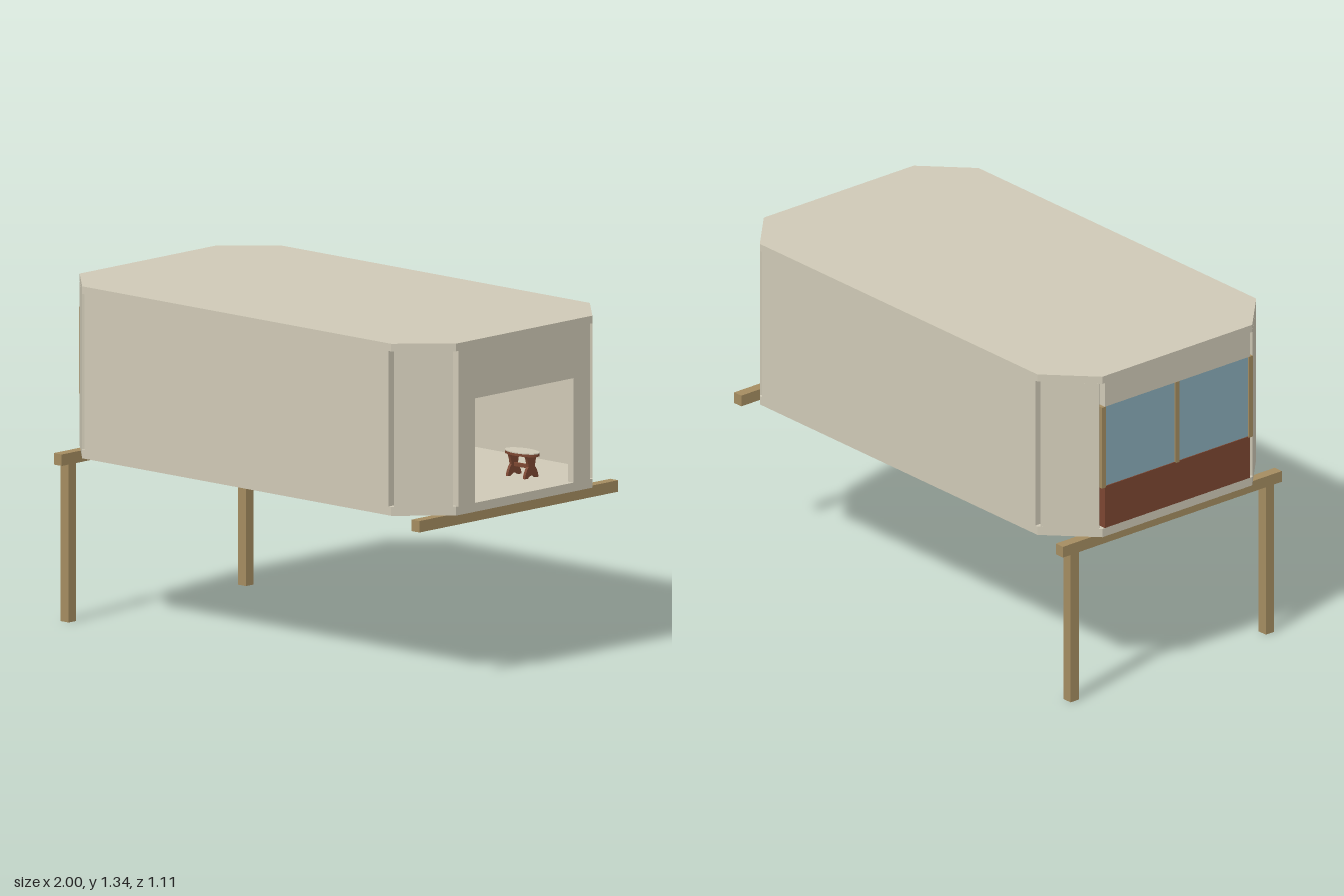
import * as THREE from 'three';

const mat = (name, color, side = THREE.FrontSide) => {
  const m = new THREE.MeshStandardMaterial({ color, side });
  m.name = name;
  return m;
};

export function createModel() {
  const shell = mat('warm grey', 0xcfc9b6, THREE.DoubleSide);
  const wood = mat('wood', 0xa48c60);
  const brown = mat('red brown', 0x7c4631);
  const glass = mat('window blue', 0x88abb7);
  const blue = mat('tub blue', 0x82b9cc, THREE.DoubleSide);

  const root = new THREE.Group();
  const add = (name, geo, material, parent = root) => {
    const m = new THREE.Mesh(geo, material);
    m.name = name;
    parent.add(m);
    return m;
  };
  // Box given by its extents on each axis
  const box = (name, material, [x0, x1], [y0, y1], [z0, z1], parent = root) => {
    const m = add(name, new THREE.BoxGeometry(x1 - x0, y1 - y0, z1 - z0), material, parent);
    m.position.set((x0 + x1) / 2, (y0 + y1) / 2, (z0 + z1) / 2);
    return m;
  };
  const group = (name) => {
    const g = new THREE.Group();
    g.name = name;
    root.add(g);
    return g;
  };

  // Floor and roof: rectangles with cut corners
  const X = 1, Z = 0.555, CX = 0.82, CZ = 0.38, T = 0.03;
  const plan = new THREE.Shape([[X, -CZ], [X, CZ], [CX, Z], [-CX, Z], [-X, CZ], [-X, -CZ], [-CX, -Z], [CX, -Z]]
    .map(([x, y]) => new THREE.Vector2(x, y)));
  const slab = (name, y0, y1) => {
    const g = new THREE.ExtrudeGeometry(plan, { depth: y1 - y0, bevelEnabled: false });
    g.rotateX(-Math.PI / 2);
    add(name, g, shell).position.y = y0;
  };
  const F = 0.7, R = 1.31;
  slab('floor', 0.665, F);
  slab('roof', R, 1.34);

  // Wall panels meet on their inner edges, leaving a notch at each outer corner
  const ix = CX - 0.0124, iz = CZ - 0.0124;
  for (const s of [1, -1]) {
    box('longWall', shell, [-ix, ix], [F, R], s > 0 ? [Z - T, Z] : [-Z, -Z + T]);
    for (const e of [1, -1]) {
      const a = new THREE.Vector2(e * ix, s * (Z - T)), b = new THREE.Vector2(e * (X - T), s * iz);
      const d = b.clone().sub(a), len = d.length();
      const n = new THREE.Vector2(e * Math.abs(d.y), s * Math.abs(d.x)).normalize();
      const m = add('cornerWall', new THREE.BoxGeometry(len, R - F, T), shell);
      m.position.set((a.x + b.x) / 2 + n.x * T / 2, (F + R) / 2, (a.y + b.y) / 2 + n.y * T / 2);
      m.rotation.y = -Math.atan2(d.y, d.x);
    }
  }

  // Open end: two jambs and a lintel
  const door = 0.275, head = 1.11;
  box('openingJamb', shell, [X - T, X], [F, R], [door, iz]);
  box('openingJamb', shell, [X - T, X], [F, R], [-iz, -door]);
  box('openingLintel', shell, [X - T, X], [head, R], [-door, door]);

  // Window end: brown panel, glass, band above and wooden posts
  box('lowerPanel', brown, [-X, -X + T], [F, 0.875], [-iz, iz]);
  box('windowGlass', glass, [-X + 0.004, -X + T - 0.004], [0.875, 1.21], [-iz, iz]);
  box('windowBand', shell, [-X, -X + T], [1.21, R], [-iz, iz]);
  for (const z of [-0.372, 0, 0.372])
    box('windowPost', wood, [-X - 0.001, -X + T + 0.004], [0.87, 1.21], [z - 0.01, z + 0.01]);

  // Beams under both ends, legs under one
  for (const x of [-0.95, 0.95]) box('beam', wood, [x - 0.021, x + 0.021], [0.62, 0.665], [-Z, Z]);
  for (const z of [-0.495, 0.495]) box('leg', wood, [-0.971, -0.929], [0, 0.62], [z - 0.021, z + 0.021]);

  // Inner partitions
  box('lowPartition', shell, [-0.25, -0.22], [F, 0.97], [0.075, Z - T]);
  box('tallPartition', shell, [-0.25, -0.22], [F, 1.085], [-Z + T, -0.08]);

  // Bathtub with a raised far end
  const tub = group('bathtub');
  tub.position.set(0.25, F, 0.295);
  const L = 0.33, W = 0.21;
  const rise = (u) => 0.125 - 0.035 * u + 0.01 * u * u;
  const bowl = (name, profile, material) => {
    const g = new THREE.LatheGeometry(profile.map(([r, y]) => new THREE.Vector2(r, y)), 48);
    const p = g.attributes.position;
    for (let i = 0; i < p.count; i++) {
      const u = p.getX(i);
      p.setXYZ(i, u * L, p.getY(i) * rise(u), p.getZ(i) * W);
    }
    g.computeVertexNormals();
    add(name, g, material, tub);
  };
  bowl('tubBase', [[0.8, 0], [0.86, 0.12], [0.91, 0.28]], blue);
  bowl('tubBody', [[0.91, 0.28], [0.96, 0.55], [0.98, 0.8], [1, 1]], shell);
  bowl('tubLining', [[0.97, 1], [0.92, 0.7], [0.84, 0.35], [0.65, 0.18], [0, 0.15]], blue);
  const rim = [];
  for (let i = 0; i < 32; i++) {
    const a = i / 32 * Math.PI * 2, u = Math.cos(a);
    rim.push(new THREE.Vector3(u * L, rise(u), Math.sin(a) * W));
  }
  add('tubRim', new THREE.TubeGeometry(new THREE.CatmullRomCurve3(rim, true), 64, 0.009, 8, true), shell, tub);

  // Tap on the tub edge
  const spout = new THREE.CatmullRomCurve3([[-0.08, 0.12, -0.185], [-0.08, 0.15, -0.165], [-0.08, 0.153, -0.145], [-0.08, 0.13, -0.125]]
    .map((v) => new THREE.Vector3(...v)));
  add('tapSpout', new THREE.TubeGeometry(spout, 12, 0.005, 8), brown, tub);

  // Towel rack in front of the tub
  const rack = group('towelRack');
  for (const z of [0.2, 0.36]) box('rackPost', brown, [0.62, 0.635], [F, 0.845], [z - 0.007, z + 0.007], rack);
  for (const y of [0.743, 0.787]) box('rackRail', brown, [0.622, 0.633], [y - 0.005, y + 0.005], [0.2, 0.36], rack);
  box('towel', blue, [0.625, 0.631], [0.748, 0.782], [0.207, 0.353], rack);

  // Stool: oval seat on two waisted trestles
  const stool = group('stool');
  stool.position.set(0.77, F, -0.23);
  const oval = (name, y, h, material) => {
    const m = add(name, new THREE.CylinderGeometry(1, 1, h, 32), material, stool);
    m.scale.set(0.082, 1, 0.045);
    m.position.y = y;
  };
  oval('seat', 0.092, 0.01, brown);
  oval('seatTop', 0.099, 0.004, shell);
  const t = new THREE.Shape();
  t.moveTo(-0.038, 0);
  t.quadraticCurveTo(-0.034, 0.025, -0.018, 0.045);
  t.quadraticCurveTo(-0.02, 0.07, -0.03, 0.087);
  t.lineTo(0.03, 0.087);
  t.quadraticCurveTo(0.02, 0.07, 0.018, 0.045);
  t.quadraticCurveTo(0.034, 0.025, 0.038, 0);
  t.lineTo(0.022, 0);
  t.quadraticCurveTo(0, 0.02, -0.022, 0);
  for (const x of [-0.045, 0.045]) {
    const g = new THREE.ExtrudeGeometry(t, { depth: 0.012, bevelEnabled: false, curveSegments: 8 });
    g.translate(0, 0, -0.006);
    g.rotateY(Math.PI / 2);
    add('trestle', g, brown, stool).position.x = x;
  }
  box('stretcher', brown, [-0.045, 0.045], [0.036, 0.05], [-0.006, 0.006], stool);

  return root;
}
